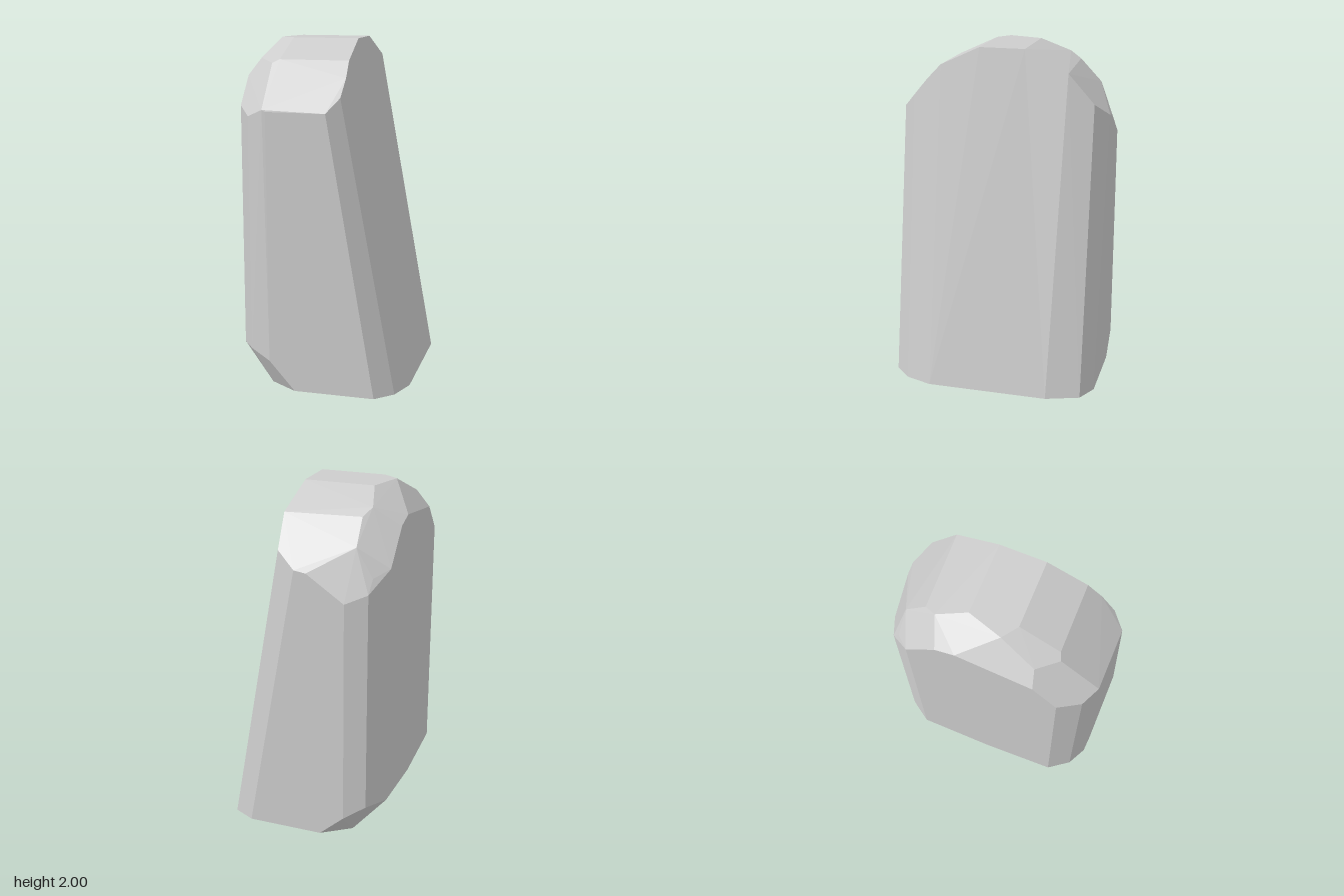
import * as THREE from 'three';
import { ConvexGeometry } from 'three/addons/geometries/ConvexGeometry.js';

export function createModel() {
  const group = new THREE.Group();
  const stone = new THREE.MeshStandardMaterial({ color: 0xcccccc });

  // arched crown, running back to front
  const crown = [
    [0, 1.62, -0.617], [0.12, 1.7, -0.545], [0.142, 1.875, -0.395],
    [0.12, 2, -0.135], [0.12, 2, 0.135], [0.125, 1.89, 0.37],
    [0.13, 1.8, 0.455], [0.12, 1.7, 0.54], [0.055, 1.62, 0.617],
    [-0.07, 1.61, -0.617], [-0.32, 1.75, -0.505], [-0.31, 1.885, -0.38],
    [-0.345, 1.925, -0.31], [-0.295, 2, -0.135], [-0.36, 2, 0.07],
    [-0.27, 2, 0.135], [-0.42, 1.89, 0.28], [-0.32, 1.87, 0.39],
    [-0.28, 1.89, 0.372], [-0.31, 1.63, 0.615], [-0.29, 1.62, 0.617],
  ];

  // top edge of the upright side and its chamfered corners
  const shoulder = [
    [-0.29, 1.46, -0.617], [-0.41, 1.51, -0.565], [-0.42, 1.59, -0.52],
    [-0.495, 1.63, -0.44], [-0.495, 1.82, -0.255], [-0.495, 1.855, -0.14],
    [-0.495, 1.79, 0.3], [-0.495, 1.63, 0.44], [-0.41, 1.585, 0.56],
  ];

  // lower edge of the upright side, above the undercut
  const undercut = [
    [-0.29, 0.13, -0.617], [-0.41, 0.2, -0.565], [-0.495, 0.2, -0.44],
    [-0.495, 0.17, 0], [-0.495, 0.21, 0.44], [-0.41, 0.215, 0.56],
    [-0.285, 0.17, 0.617],
  ];

  // flat foot outline
  const foot = [
    [-0.145, -0.617], [0.3, -0.617], [0.425, -0.555], [0.492, -0.36],
    [0.492, 0.36], [0.435, 0.52], [0.335, 0.617], [-0.135, 0.617],
    [-0.3, 0.51], [-0.34, 0.04], [-0.31, -0.5],
  ].map(([x, z]) => [x, 0, z]);

  const points = [...crown, ...shoulder, ...undercut, ...foot]
    .map((p) => new THREE.Vector3(...p));
  const rock = new THREE.Mesh(new ConvexGeometry(points), stone);
  rock.name = 'rock';
  group.add(rock);
  return group;
}
